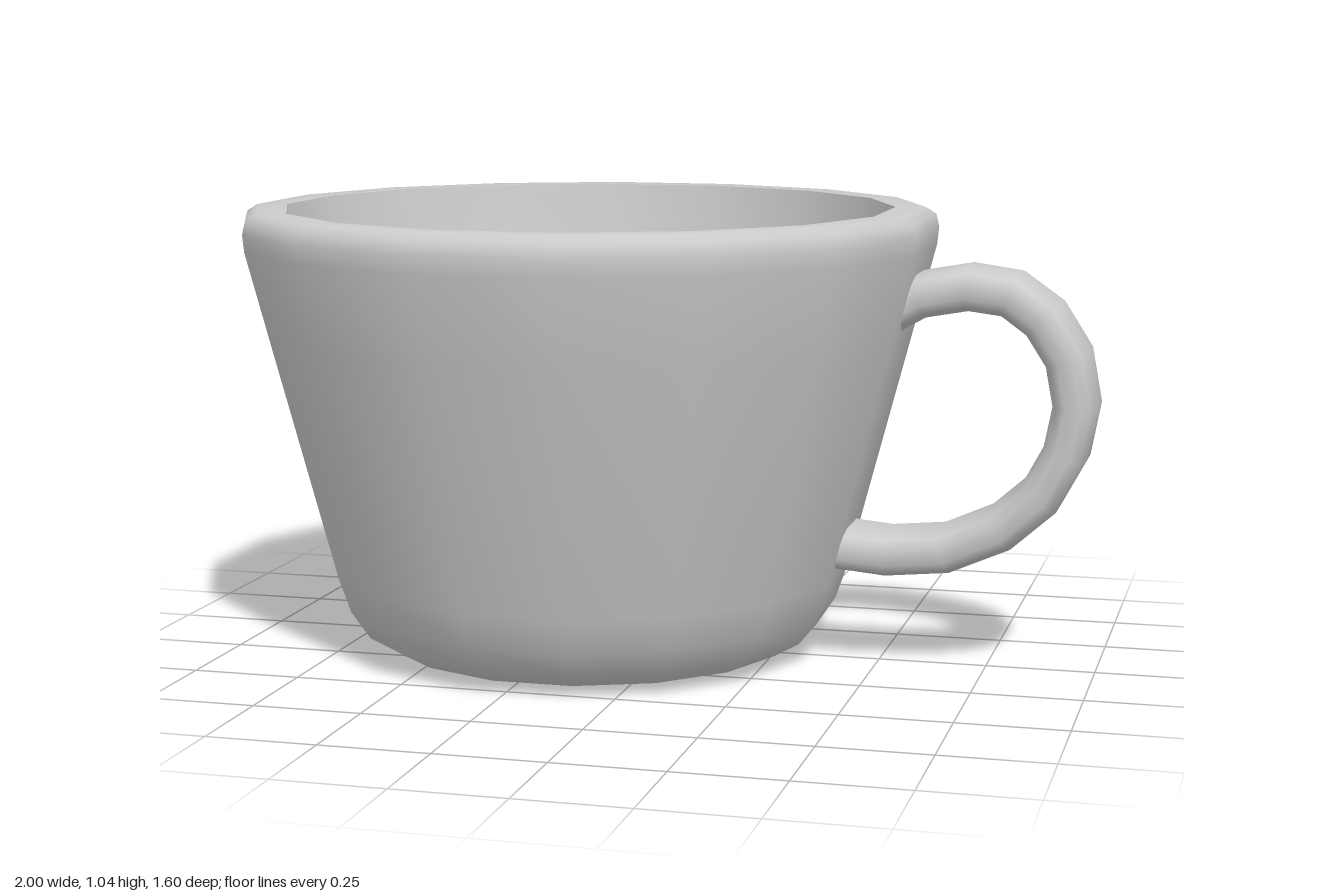
import * as THREE from 'three';
import { toCreasedNormals } from 'three/addons/utils/BufferGeometryUtils.js';

const SIDES = 16;
const CUP_X = -0.2;

// Lathed wall; profile holds [distance to the flat of a side, height]
function cupGeometry() {
  const profile = [
    // underside and rounded foot
    [0, 0], [0.4, 0], [0.47, 0.015], [0.53, 0.05], [0.573, 0.115], [0.6, 0.195],
    // outer wall and rim
    [0.745, 0.76], [0.796, 0.96], [0.8, 1.0], [0.793, 1.03], [0.77, 1.045], [0.7, 1.045],
    // inner wall and floor
    [0.65, 0.78], [0.515, 0.26], [0.49, 0.19], [0.44, 0.135], [0.36, 0.11], [0, 0.11],
  ];
  const scale = 1 / Math.cos(Math.PI / SIDES);
  const points = profile.map(([r, y]) => new THREE.Vector2(r * scale, y));
  const lathe = new THREE.LatheGeometry(points, SIDES, Math.PI / SIDES);
  return toCreasedNormals(lathe, THREE.MathUtils.degToRad(50));
}

// Rounded strap swept along the handle's centre line
function handleGeometry() {
  const path = [
    [0.5, 0.81], [0.59, 0.86], [0.7, 0.88], [0.795, 0.867], [0.87, 0.813], [0.925, 0.727],
    [0.945, 0.62], [0.925, 0.513], [0.87, 0.41], [0.78, 0.33], [0.655, 0.275], [0.52, 0.262], [0.38, 0.275],
  ];
  // cross-section: [thickness, width]
  const section = [
    [0.05, 0], [0.05, 0.055], [0.038, 0.088], [0.018, 0.104],
    [-0.018, 0.104], [-0.038, 0.088], [-0.05, 0.055], [-0.05, 0],
    [-0.05, -0.055], [-0.038, -0.088], [-0.018, -0.104],
    [0.018, -0.104], [0.038, -0.088], [0.05, -0.055],
  ];
  const n = section.length;
  const positions = [];
  const indices = [];
  path.forEach(([x, y], i) => {
    const before = path[Math.max(i - 1, 0)];
    const after = path[Math.min(i + 1, path.length - 1)];
    const t = new THREE.Vector2(after[0] - before[0], after[1] - before[1]).normalize();
    section.forEach(([thick, width], j) => {
      positions.push(x - t.y * thick, y + t.x * thick, width);
      if (i === path.length - 1) return;
      const a = i * n + j;
      const b = i * n + (j + 1) % n;
      indices.push(a, b, a + n, b, b + n, a + n);
    });
  });
  const geometry = new THREE.BufferGeometry();
  geometry.setAttribute('position', new THREE.Float32BufferAttribute(positions, 3));
  geometry.setIndex(indices);
  geometry.computeVertexNormals();
  return geometry;
}

export function createModel() {
  const model = new THREE.Group();
  model.name = 'cup';
  const material = new THREE.MeshStandardMaterial({ color: 0xcccccc });

  const body = new THREE.Mesh(cupGeometry(), material);
  body.name = 'cupBody';
  body.position.x = CUP_X;

  const handle = new THREE.Mesh(handleGeometry(), material);
  handle.name = 'handle';

  model.add(body, handle);
  return model;
}
